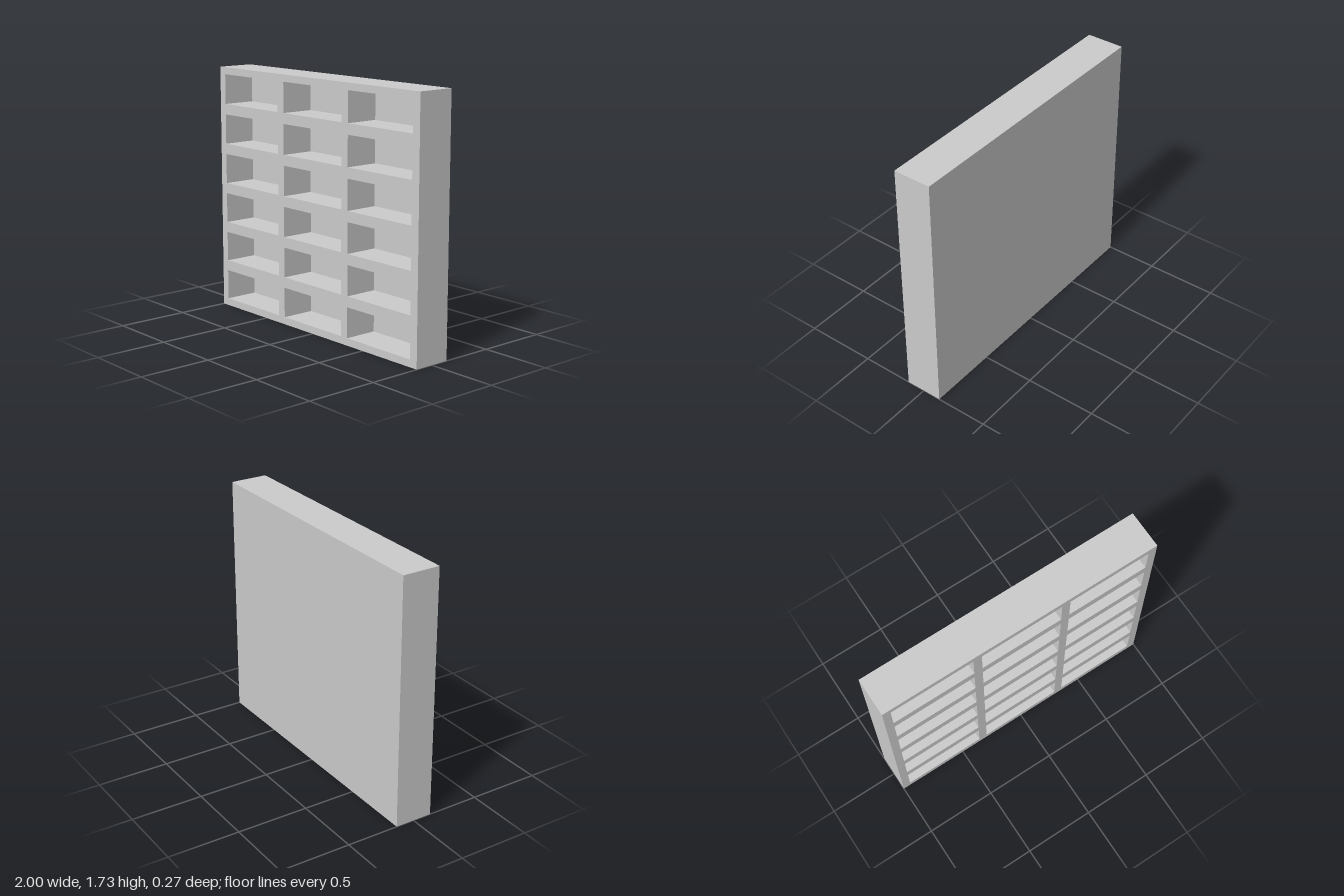
import * as THREE from 'three';

const W = 2, H = 1.73, D = 0.265, BACK = 0.028;
const COLS = 3, ROWS = 6;
const CELL_W = 0.587, CELL_H = 0.21, PITCH_X = 0.648, PITCH_Y = 0.284;
const FIRST_X = -0.944, FIRST_Y = 0.051;

// Closed rectangle from its lower left corner
function rectangle(path, x, y, w, h) {
  path.moveTo(x, y);
  path.lineTo(x + w, y);
  path.lineTo(x + w, y + h);
  path.lineTo(x, y + h);
  path.closePath();
  return path;
}

export function createModel() {
  const group = new THREE.Group();
  group.name = 'pigeonholeShelf';
  const material = new THREE.MeshStandardMaterial({ color: 0xcccccc, flatShading: true });

  // Outer frame, shelves and dividers: one slab pierced by the compartments
  const outline = rectangle(new THREE.Shape(), -W / 2, 0, W, H);
  for (let row = 0; row < ROWS; row++) {
    for (let col = 0; col < COLS; col++) {
      outline.holes.push(rectangle(new THREE.Path(),
        FIRST_X + col * PITCH_X, FIRST_Y + row * PITCH_Y, CELL_W, CELL_H));
    }
  }
  const frame = new THREE.Mesh(
    new THREE.ExtrudeGeometry(outline, { depth: D - BACK, bevelEnabled: false }), material);
  frame.name = 'shelfGrid';
  frame.position.z = -D / 2 + BACK;
  group.add(frame);

  // Solid back closing the compartments
  const back = new THREE.Mesh(new THREE.BoxGeometry(W, H, BACK), material);
  back.name = 'backPanel';
  back.position.set(0, H / 2, -D / 2 + BACK / 2);
  group.add(back);

  return group;
}
